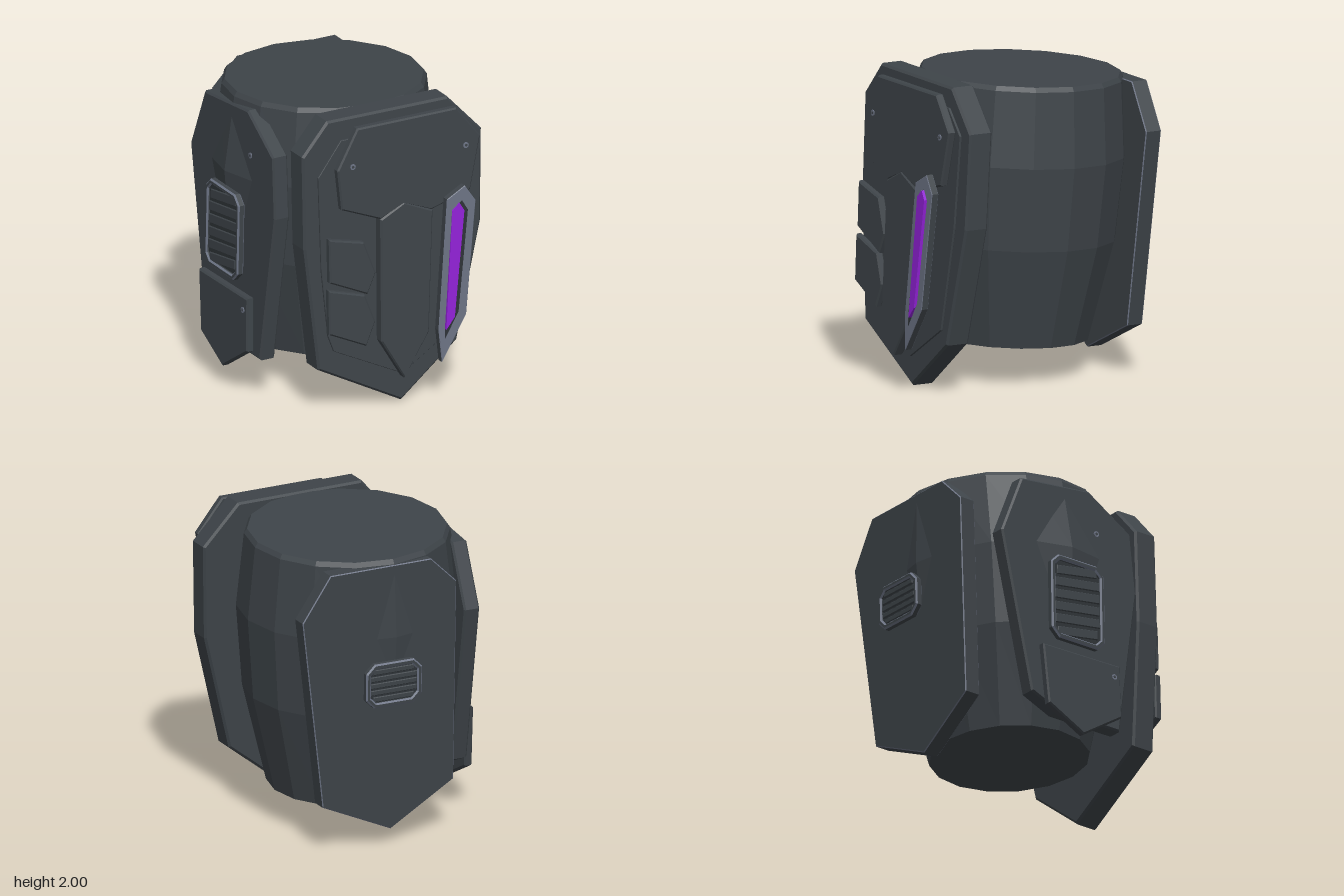
import * as THREE from 'three';

const paint = (name, color) => {
  const m = new THREE.MeshStandardMaterial({ color });
  m.name = name;
  return m;
};

export function createModel() {
  const model = new THREE.Group();
  model.name = 'armouredBarrel';
  const armour = paint('armour', 0x3e4449);
  const trim = paint('trim', 0x6c7384);
  const recess = paint('recess', 0x2e3337);
  const glow = paint('glow', 0x9222d8);
  const LEAN = 0.036; // every plate leans back by this slope

  // Flat panel cut from an outline; its outer face sits at depth `front` at y = 0.
  // `mat` is one material, or [face, bevel, wall]
  function plate(parent, name, pts, front, thick, mat, { bevel = 0.01, lean = LEAN, hole, side } = {}) {
    const toVecs = list => list.map(p => new THREE.Vector2(p[0], p[1]));
    const shape = new THREE.Shape(toVecs(pts));
    if (hole) shape.holes.push(new THREE.Path(toVecs(hole)));
    const geo = new THREE.ExtrudeGeometry(shape, {
      depth: thick - 2 * bevel, bevelEnabled: bevel > 0, bevelSegments: 1,
      bevelSize: bevel, bevelThickness: bevel, bevelOffset: -bevel,
    });
    geo.translate(0, 0, front - thick + bevel);
    const p = geo.attributes.position;
    if (Array.isArray(mat)) {
      // sort triangles into face, bevel and wall by their slope
      geo.clearGroups();
      geo.computeVertexNormals();
      for (let i = 0; i < p.count; i += 3) {
        const nz = Math.abs(geo.attributes.normal.getZ(i));
        geo.addGroup(i, 3, nz > 0.95 ? 0 : nz > 0.2 ? 1 : 2);
      }
    }
    for (let i = 0; i < p.count; i++) p.setZ(i, p.getZ(i) - lean * p.getY(i));
    if (side) geo.rotateY(-Math.PI / 2); // outline x becomes z, outward becomes -x
    geo.computeVertexNormals();
    const mesh = new THREE.Mesh(geo, mat);
    mesh.name = name;
    parent.add(mesh);
  }

  // Rectangle with cut corners
  const chamfered = (x, y, w, h, c) => [
    [x - w + c, y - h], [x + w - c, y - h], [x + w, y - h + c], [x + w, y + h - c],
    [x + w - c, y + h], [x - w + c, y + h], [x - w, y + h - c], [x - w, y - h + c],
  ];

  // Grille: chamfered frame with bright edges, backing and slats
  function vent(name, x, y, w, h, front, slats, slope, opts) {
    const g = new THREE.Group();
    g.name = name;
    model.add(g);
    const b = 0.035, iw = w - b, ih = h - b;
    plate(g, 'ventFrame', chamfered(x, y, w, h, 0.06), front, 0.05, [armour, trim, armour],
      { ...opts, hole: chamfered(x, y, iw, ih, 0.04) });
    plate(g, 'ventBacking', chamfered(x, y, iw + 0.01, ih + 0.01, 0.045), front - 0.02, 0.01, recess,
      { ...opts, bevel: 0 });
    const step = (2 * ih) / slats, t = step * 0.36;
    for (let i = 0; i < slats; i++) {
      const cy = y - ih + step * (i + 0.5), d = slope * iw;
      const sw = iw - (i === 0 || i === slats - 1 ? 0.02 : 0);
      plate(g, 'ventSlat', [[x - sw, cy - t - d], [x + sw, cy - t + d], [x + sw, cy + t + d], [x - sw, cy + t - d]],
        front - 0.01, 0.03, armour, { ...opts, bevel: 0.004 });
    }
  }

  // Small round bolts with a dark centre, on a plate face
  function bolt(x, y, front, opts) {
    const ring = r => Array.from({ length: 10 }, (_, i) => {
      const a = (i / 10) * Math.PI * 2;
      return [x + r * Math.cos(a), y + r * Math.sin(a)];
    });
    plate(model, 'boltRing', ring(0.02), front + 0.004, 0.01, trim, { ...opts, bevel: 0 });
    plate(model, 'boltCentre', ring(0.009), front + 0.006, 0.008, armour, { ...opts, bevel: 0 });
  }

  // Sixteen-sided barrel, tilted slightly, a little fuller on one side and flatter at the back
  const profile = [[0, 0], [0.515, 0], [0.67, 0.655], [0.71, 1.2], [0.66, 1.69], [0.64, 1.72], [0, 1.72]];
  const barrelGeo = new THREE.LatheGeometry(profile.map(p => new THREE.Vector2(...p)), 16).toNonIndexed();
  const bp = barrelGeo.attributes.position;
  for (let i = 0; i < bp.count; i++) {
    if (bp.getY(i) < 0.5 || bp.getY(i) > 1.5) continue;
    if (bp.getX(i) < 0) bp.setX(i, bp.getX(i) * 1.035);
    if (bp.getZ(i) < 0) bp.setZ(i, bp.getZ(i) * 0.974);
  }
  barrelGeo.computeVertexNormals();
  const barrel = new THREE.Mesh(barrelGeo, armour);
  barrel.name = 'barrel';
  barrel.position.set(0.012, 0.24, -0.058);
  barrel.rotation.set(-0.04, 0, -0.018);
  model.add(barrel);

  // Front shield and the layers stacked on it
  plate(model, 'frontShield', [
    [-0.385, 2.0], [0.5, 1.99], [0.745, 1.725], [0.725, 1.1], [0.535, 0.325],
    [0.12, 0], [-0.485, 0.325], [-0.572, 1.16], [-0.572, 1.79],
  ], 0.732, 0.165, armour, { bevel: 0.014 });
  plate(model, 'frontLiner', [
    [-0.3, 1.86], [0.5, 1.86], [0.65, 1.7], [0.61, 1.1], [0.49, 0.42],
    [0.12, 0.19], [-0.38, 0.44], [-0.42, 0.55], [-0.46, 1.0], [-0.47, 1.64],
  ], 0.752, 0.016, armour, { bevel: 0.003 });
  plate(model, 'chestPlate', [
    [-0.23, 1.96], [0.5, 1.955], [0.67, 1.735], [0.59, 1.38], [0.3, 1.3],
    [0.1, 1.38], [-0.07, 1.31], [-0.355, 1.43], [-0.38, 1.7],
  ], 0.846, 0.055, armour);
  plate(model, 'centrePanel', [
    [-0.075, 1.31], [0.1, 1.395], [0.31, 1.3], [0.265, 0.48], [0.08, 0.2], [-0.085, 0.48],
  ], 0.852, 0.075, armour);
  plate(model, 'upperSidePanel', [
    [-0.445, 1.24], [-0.19, 1.175], [-0.107, 0.95], [-0.17, 0.815], [-0.445, 0.945],
  ], 0.835, 0.05, armour);
  plate(model, 'lowerSidePanel', [
    [-0.455, 0.895], [-0.19, 0.815], [-0.117, 0.62], [-0.185, 0.465], [-0.455, 0.595],
  ], 0.835, 0.05, armour);
  bolt(-0.27, 1.71, 0.847);
  bolt(0.56, 1.69, 0.847);

  // Glowing strip in its frame
  const frame = [[0.513, 1.445], [0.59, 1.33], [0.505, 0.57], [0.32, 0.28], [0.3, 0.5], [0.38, 1.375]];
  plate(model, 'lightFrame', frame, 0.91, 0.05, [trim, trim, armour], {
    bevel: 0.004,
    hole: [[0.49, 1.355], [0.535, 1.28], [0.452, 0.6], [0.345, 0.43], [0.342, 0.51], [0.412, 1.3]],
  });
  plate(model, 'lightBacking', frame.map(([x, y]) => [0.44 + (x - 0.44) * 0.9, 0.9 + (y - 0.9) * 0.95]),
    0.888, 0.02, recess, { bevel: 0 });
  plate(model, 'lightStrip', [
    [0.467, 1.34], [0.503, 1.28], [0.418, 0.57], [0.354, 0.495], [0.414, 1.29],
  ], 0.914, 0.03, glow, { bevel: 0 });

  // Back plate with its grille
  plate(model, 'backPlate', [
    [0.5, 1.895], [0.695, 1.6], [0.53, 0.32], [0.04, 0.1], [-0.405, 0.37], [-0.405, 1.72], [-0.22, 1.9],
  ], -0.613, 0.113, [armour, trim, armour], { lean: 0.033, bevel: 0.006 });
  vent('backVent', 0.1, 1.14, 0.2, 0.15, -0.815, 5, 0, { lean: 0.031 });

  // Right side plate, lower guard and grille (outlines in z, y)
  const side = { side: true, lean: 0.022 };
  plate(model, 'rightSidePlate', [
    [0.08, 1.92], [0.41, 1.71], [0.45, 1.3], [0.3, 0.28],
    [-0.2, 0.28], [-0.41, 0.37], [-0.635, 1.45], [-0.47, 1.86],
  ], 0.68, 0.11, armour, { ...side, bevel: 0.012 });
  plate(model, 'rightLowerGuard', [
    [-0.37, 0.69], [0.25, 0.7], [0.26, 0.34], [-0.05, 0.135], [-0.33, 0.28],
  ], 0.755, 0.055, armour, side);
  vent('rightVent', -0.085, 1.06, 0.215, 0.295, 0.762, 6, 0.15, side);
  bolt(0.13, 1.63, 0.681, side);
  bolt(0.2, 0.61, 0.756, side);

  return model;
}
